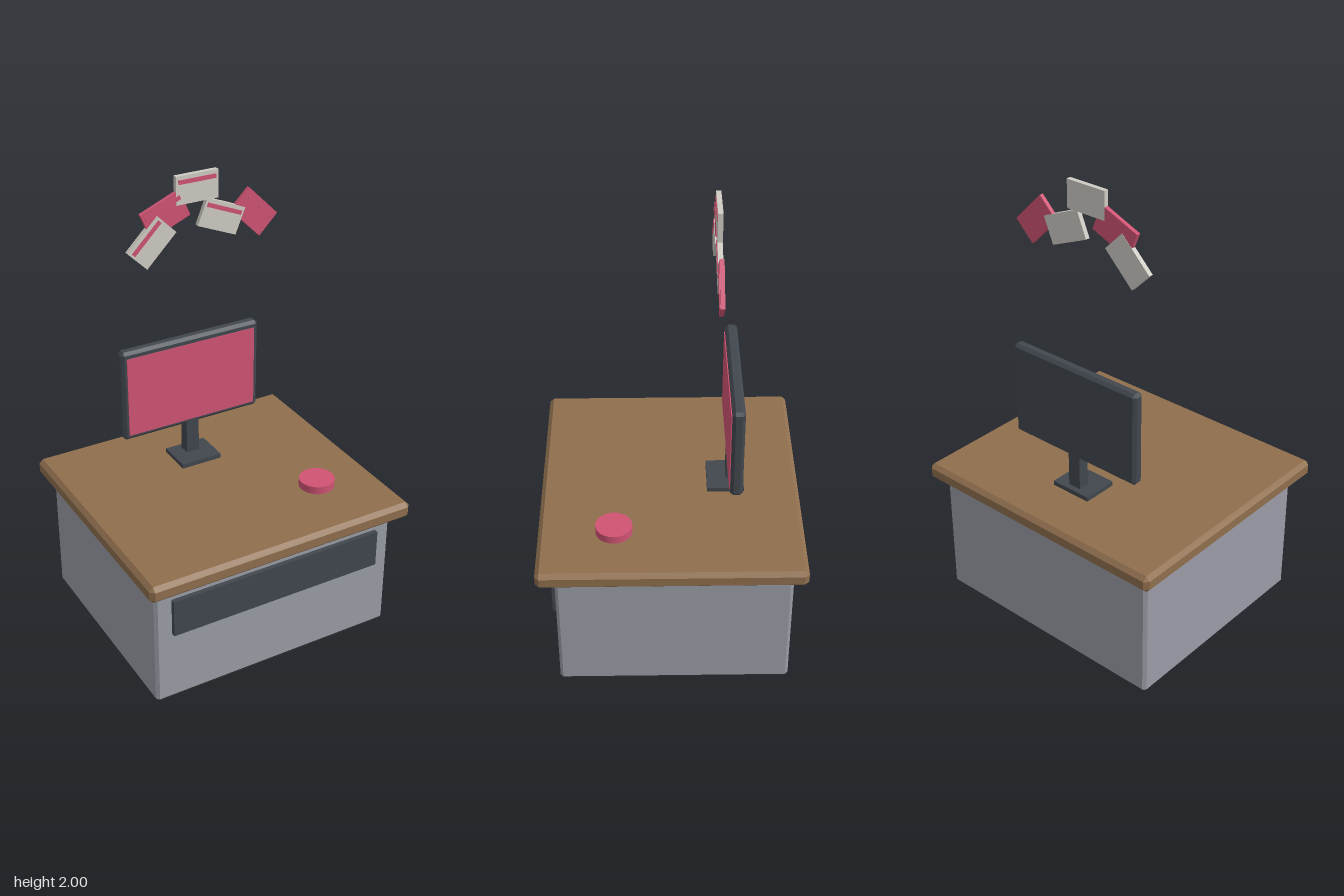
import * as THREE from 'three';
import { ConvexGeometry } from 'three/addons/geometries/ConvexGeometry.js';

const makeMaterial = (name, color) => {
  const m = new THREE.MeshStandardMaterial({ color });
  m.name = name;
  return m;
};

// Box with every edge cut by a flat chamfer c
function chamferBox(w, h, d, c) {
  const points = [];
  for (const sx of [-1, 1]) for (const sy of [-1, 1]) for (const sz of [-1, 1]) {
    const x = w / 2, y = h / 2, z = d / 2;
    points.push(
      new THREE.Vector3(sx * x, sy * (y - c), sz * (z - c)),
      new THREE.Vector3(sx * (x - c), sy * y, sz * (z - c)),
      new THREE.Vector3(sx * (x - c), sy * (y - c), sz * z));
  }
  return new ConvexGeometry(points);
}

export function createModel() {
  const model = new THREE.Group();
  model.name = 'deskWithMonitorAndCards';

  const wood = makeMaterial('wood', 0x8f6f4e);
  const metal = makeMaterial('greyMetal', 0x9a9ca6);
  const dark = makeMaterial('darkPlastic', 0x41474e);
  const plinthDark = makeMaterial('plinthBlack', 0x2c2e31);
  const pink = makeMaterial('pink', 0xcf5373);
  const paper = makeMaterial('paper', 0xcfccc4);

  const add = (name, geometry, material, x, y, z, parent = model) => {
    const mesh = new THREE.Mesh(geometry, material);
    mesh.name = name;
    mesh.position.set(x, y, z);
    parent.add(mesh);
    return mesh;
  };
  const box = (w, h, d) => new THREE.BoxGeometry(w, h, d);

  // Counter
  add('plinth', box(1.08, 0.04, 0.92), plinthDark, 0, 0.02, -0.012);
  add('cabinet', chamferBox(1.13, 0.57, 0.975, 0.013), metal, 0, 0.307, -0.012);
  add('frontPanel', box(0.98, 0.17, 0.025), dark, 0, 0.44, 0.483);
  add('worktop', chamferBox(1.23, 0.075, 1.105, 0.018), wood, 0, 0.6275, -0.002);

  // Monitor on its stand
  add('standFoot', box(0.19, 0.02, 0.158), dark, 0, 0.675, -0.239);
  add('standStem', box(0.06, 0.18, 0.05), dark, 0, 0.765, -0.267);
  add('monitorFrame', chamferBox(0.66, 0.42, 0.052, 0.013), dark, 0, 1.04, -0.269);
  add('screen', box(0.615, 0.367, 0.006), pink, 0, 1.037, -0.242);

  // Round button on the worktop
  add('button', new THREE.CylinderGeometry(0.077, 0.077, 0.035, 32), pink, 0.345, 0.6825, 0.235);

  // Arc of floating cards: x, y, turn in degrees, material
  const cards = [
    [-0.206, 1.745, 45, paper],
    [-0.143, 1.85, 22.5, pink],
    [0, 1.94, 0, paper],
    [0.111, 1.795, -22.5, paper],
    [0.266, 1.785, -45, pink],
  ];
  cards.forEach(([x, y, turn, material], i) => {
    const card = new THREE.Group();
    card.name = `card${i + 1}`;
    card.position.set(x, y, -0.19);
    card.rotation.z = THREE.MathUtils.degToRad(turn);
    // pink cards are a hair thinner so that overlapping faces stay apart
    const depth = material === pink ? 0.018 : 0.02;
    add('cardSheet', box(0.19, 0.12, depth), material, 0, 0, 0, card);
    add('cardStripe', box(0.17, 0.018, 0.004), pink, 0, 0.034, depth / 2 + 0.001, card);
    model.add(card);
  });

  return model;
}
